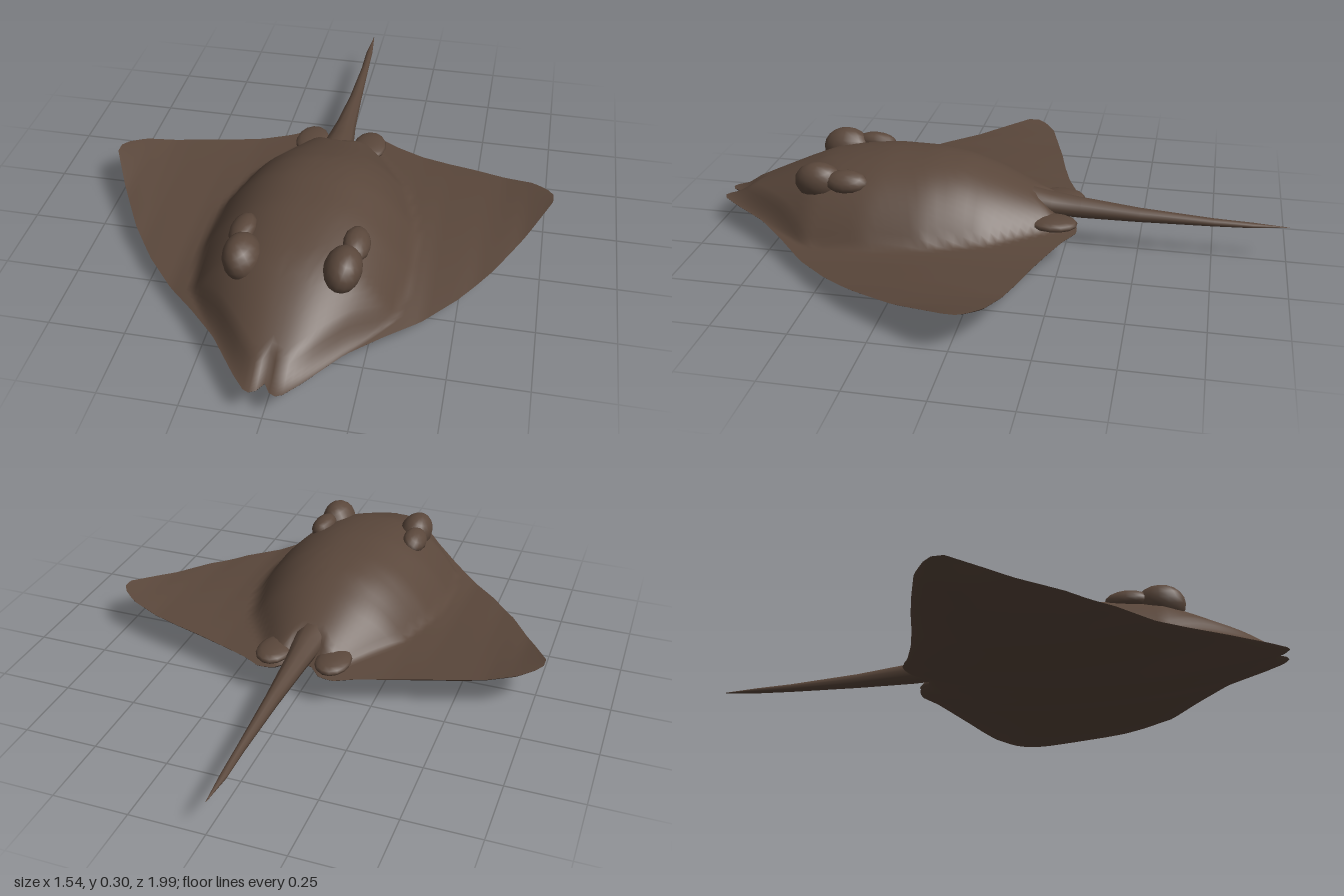
import * as THREE from 'three';

// Piecewise-linear lookup in a short list of [input, value] pairs
function curve(points, v) {
  if (v <= points[0][0]) return points[0][1];
  for (let i = 1; i < points.length; i++) {
    const [a, p] = points[i - 1], [b, q] = points[i];
    if (v <= b) return p + (q - p) * (v - a) / (b - a);
  }
  return points[points.length - 1][1];
}

// Outline of the disc, by distance from the midline
const frontZ = [[0, 0.95], [0.025, 0.99], [0.05, 0.99], [0.1, 0.93], [0.2, 0.79], [0.3, 0.68], [0.4, 0.58], [0.5, 0.47], [0.6, 0.33], [0.7, 0.15], [0.77, 0.01]];
const backZ = [[0, -0.24], [0.04, -0.25], [0.08, -0.295], [0.13, -0.3], [0.2, -0.26], [0.3, -0.22], [0.4, -0.19], [0.5, -0.165], [0.6, -0.135], [0.7, -0.1], [0.75, -0.06], [0.77, -0.03]];
const frontY = [[0, 0.09], [0.2, 0.085], [0.4, 0.055], [0.55, 0.07], [0.68, 0.1], [0.77, 0.142]];
const backY = [[0, 0.11], [0.3, 0.1], [0.6, 0.113], [0.77, 0.142]];
const bellyY = [[0, 0], [0.06, 0], [0.18, 0.028], [0.38, 0.012], [0.55, 0.05], [0.68, 0.09], [0.77, 0.142]];

// Raised back: ridge height and half width along the body
const ridgeY = [[-0.3, 0.12], [-0.2, 0.17], [-0.1, 0.21], [0, 0.25], [0.1, 0.285], [0.2, 0.3], [0.38, 0.3], [0.5, 0.285], [0.6, 0.265], [0.7, 0.225], [0.8, 0.18], [0.9, 0.135], [0.99, 0.1]];
const ridgeW = [[-0.3, 0.1], [-0.2, 0.14], [0, 0.27], [0.2, 0.33], [0.4, 0.345], [0.6, 0.32], [0.8, 0.2], [0.99, 0.07]];

// One skin of the disc, bent from a flat grid
function discSkin(top) {
  const g = new THREE.PlaneGeometry(2, 2, 80, 48);
  g.rotateX(top ? -Math.PI / 2 : Math.PI / 2);
  const pos = g.attributes.position;
  for (let i = 0; i < pos.count; i++) {
    const x = pos.getX(i) * 0.77, ax = Math.abs(x);
    const t = (1 - Math.cos(Math.PI * (pos.getZ(i) + 1) / 2)) / 2;
    const z = THREE.MathUtils.lerp(curve(backZ, ax), curve(frontZ, ax), t);
    const edge = THREE.MathUtils.lerp(curve(backY, ax), curve(frontY, ax), t);
    const bulge = Math.sin(Math.PI * t);
    let y;
    if (top) {
      const wing = edge + 0.025 * bulge * (1 - ax / 0.77);
      const hump = Math.max(0, 1 - Math.pow(ax / curve(ridgeW, z), 2.3));
      const rim = Math.min(1, bulge * 4);
      y = wing + Math.max(0, curve(ridgeY, z) - wing) * hump * rim;
    } else {
      y = THREE.MathUtils.lerp(edge, curve(bellyY, ax), Math.pow(bulge, 0.7));
    }
    pos.setXYZ(i, x, y, z);
  }
  g.computeVertexNormals();
  return g;
}

// Tapered tail lofted from oval rings: [z, centre x, centre y, half width, half height]
function tailGeometry() {
  const rings = [[-0.1, 0, 0.155, 0.06, 0.05], [-0.2, 0, 0.148, 0.05, 0.04], [-0.3, 0, 0.14, 0.038, 0.036], [-0.5, 0, 0.13, 0.024, 0.025], [-0.75, -0.003, 0.124, 0.014, 0.014], [-0.88, -0.007, 0.123, 0.012, 0.009], [-1, -0.008, 0.125, 0.001, 0.001]];
  const n = 10, verts = [], index = [];
  rings.forEach(([z, cx, cy, w, h], r) => {
    for (let k = 0; k < n; k++) {
      const a = k / n * Math.PI * 2;
      verts.push(cx + Math.cos(a) * w, cy + Math.sin(a) * h, z);
      if (r === 0) continue;
      const a0 = (r - 1) * n + k, b0 = (r - 1) * n + (k + 1) % n;
      index.push(a0, b0, a0 + n, b0, b0 + n, a0 + n);
    }
  });
  const g = new THREE.BufferGeometry();
  g.setAttribute('position', new THREE.Float32BufferAttribute(verts, 3));
  // Rings run toward -z, so turn each face outward
  for (let i = 0; i < index.length; i += 3) [index[i + 1], index[i + 2]] = [index[i + 2], index[i + 1]];
  g.setIndex(index.reverse());
  g.computeVertexNormals();
  return g;
}

export function createModel() {
  const group = new THREE.Group();
  const skin = new THREE.MeshStandardMaterial({ color: 0x5a473b, side: THREE.DoubleSide });
  skin.name = 'brown skin';
  const add = (name, geometry) => {
    const mesh = new THREE.Mesh(geometry, skin);
    mesh.name = name;
    group.add(mesh);
    return mesh;
  };

  add('back', discSkin(true));
  add('belly', discSkin(false));
  add('tail', tailGeometry());

  for (const side of [-1, 1]) {
    const label = side > 0 ? 'left' : 'right';
    // Raised eye mound with a lid behind it
    const eye = add(label + 'Eye', new THREE.SphereGeometry(1, 16, 10));
    eye.scale.set(0.06, 0.07, 0.085);
    eye.position.set(side * 0.155, 0.233, 0.585);
    eye.rotation.z = -side * 0.35;
    const lid = add(label + 'Spiracle', new THREE.SphereGeometry(1, 14, 8));
    lid.scale.set(0.045, 0.035, 0.075);
    lid.position.set(side * 0.18, 0.25, 0.48);
    lid.rotation.z = -side * 0.5;
    // Small lobe beside the root of the tail
    const fin = add(label + 'PelvicFin', new THREE.SphereGeometry(1, 14, 8));
    fin.scale.set(0.06, 0.022, 0.085);
    fin.position.set(side * 0.105, 0.125, -0.215);
  }
  return group;
}
